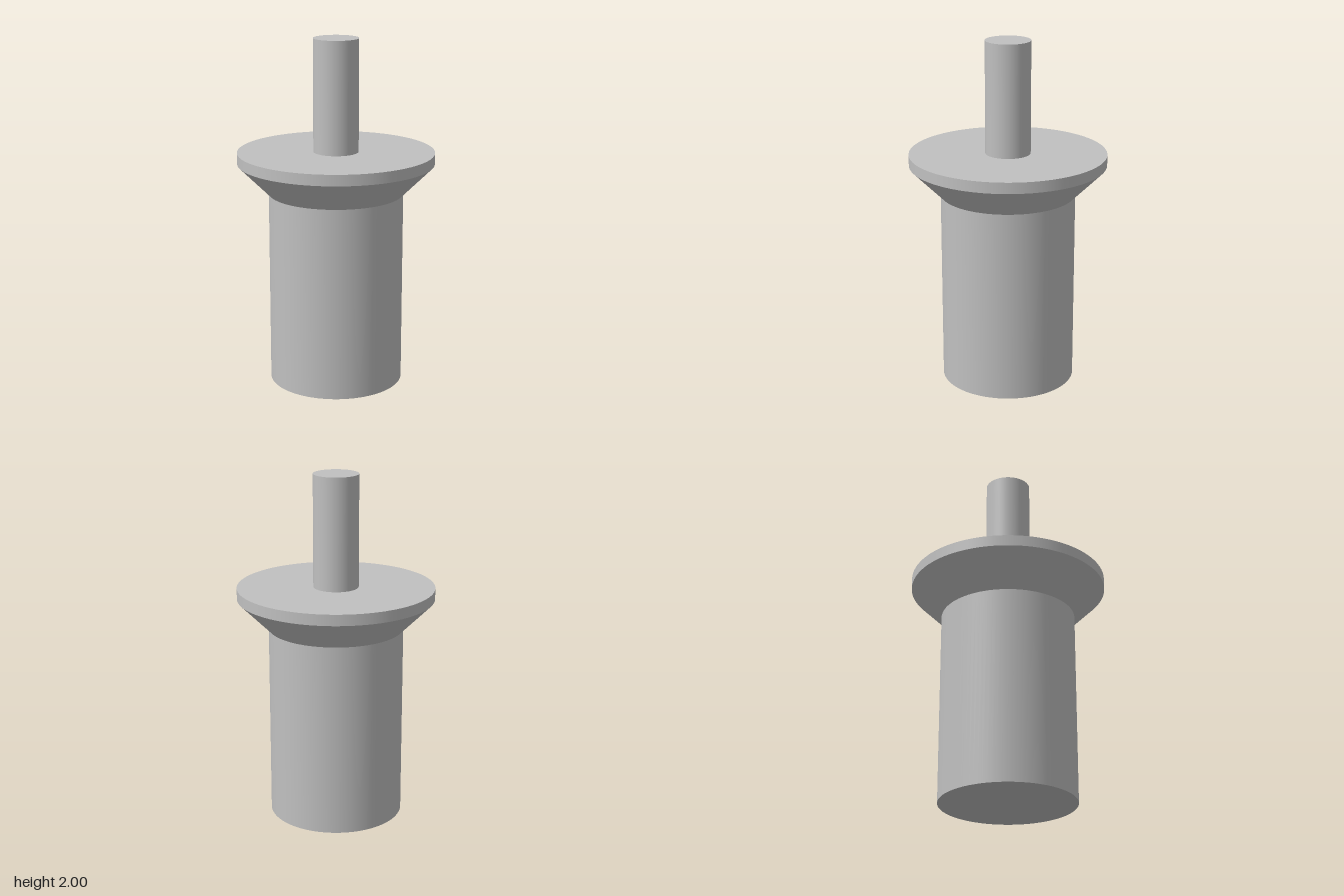
import * as THREE from 'three';

export function createModel() {
  const model = new THREE.Group();
  const grey = new THREE.MeshStandardMaterial({ color: 0xc0c0c0 });
  grey.name = 'plain grey';

  // Round section between two heights, smooth sides and sharp rims
  function section(name, bottomRadius, topRadius, y0, y1, open = false) {
    const geometry = new THREE.CylinderGeometry(topRadius, bottomRadius, y1 - y0, 96, 1, open);
    const mesh = new THREE.Mesh(geometry, grey);
    mesh.name = name;
    mesh.position.y = (y0 + y1) / 2;
    model.add(mesh);
  }

  section('body', 0.385, 0.385, 0, 1.115);
  section('flare', 0.385, 0.5625, 1.115, 1.292, true);
  section('flangeRim', 0.5625, 0.5625, 1.292, 1.355);
  section('stem', 0.129, 0.129, 1.355, 2);

  return model;
}
